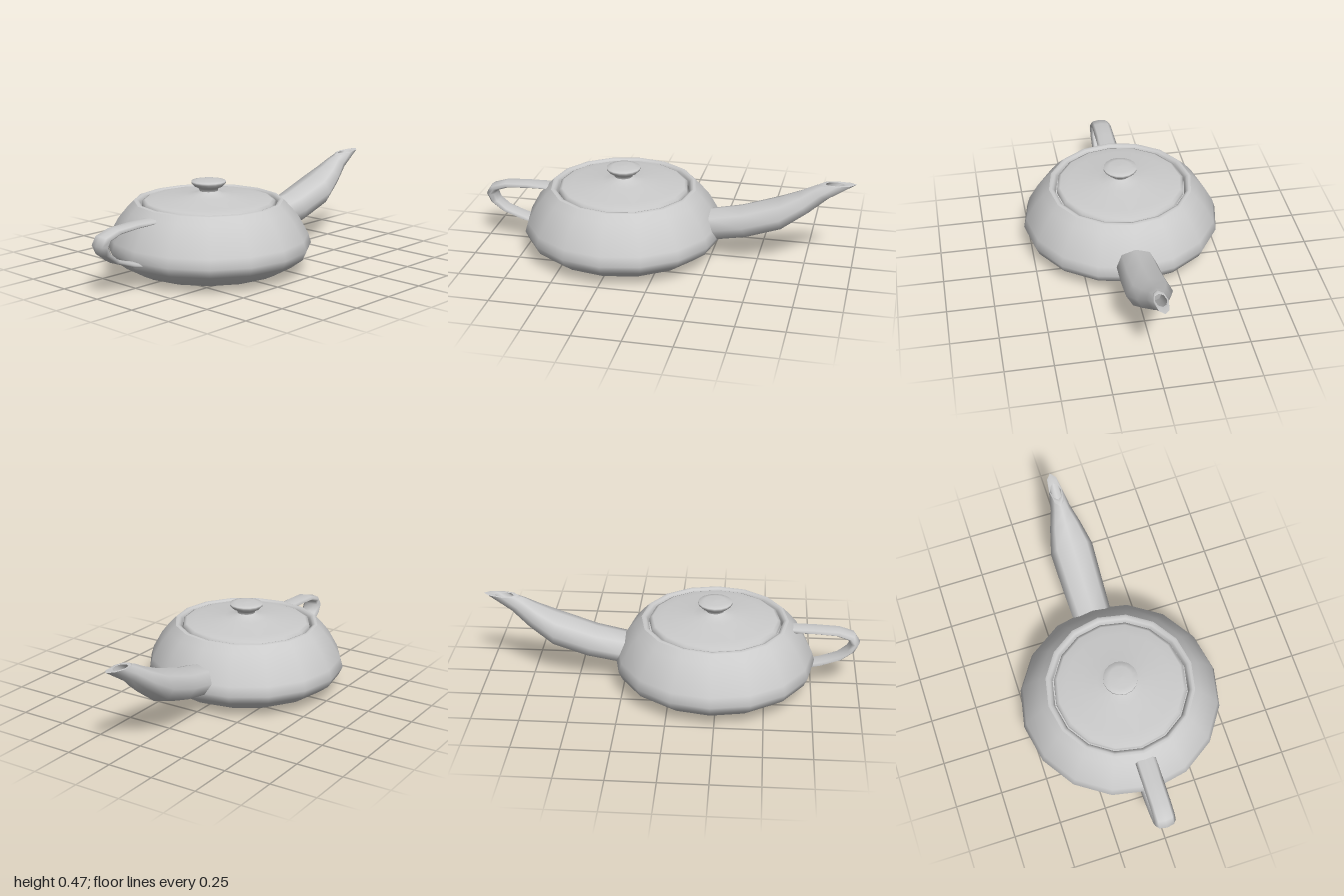
import * as THREE from 'three';

const material = new THREE.MeshStandardMaterial({ color: 0xcccccc, side: THREE.DoubleSide });
const SIDES = 8;
const CENTRE_X = -0.23;

function part(name, geometry) {
  const mesh = new THREE.Mesh(geometry, material);
  mesh.name = name;
  return mesh;
}

// Sixteen-sided turned part around the pot's axis
function turned(name, profile) {
  const points = profile.map(([r, y]) => new THREE.Vector2(r, y));
  const mesh = part(name, new THREE.LatheGeometry(points, 16));
  mesh.position.x = CENTRE_X;
  return mesh;
}

// Skin over oval rings, each given by two opposite points in the xy plane and a half width in z
function loft(name, rings) {
  const position = [], index = [];
  rings.forEach(([ax, ay, bx, by, w], i) => {
    for (let j = 0; j < SIDES; j++) {
      const t = (j / SIDES) * Math.PI * 2, c = Math.cos(t);
      position.push((ax + bx) / 2 + c * (ax - bx) / 2, (ay + by) / 2 + c * (ay - by) / 2, w * Math.sin(t));
      if (i === rings.length - 1) continue;
      const a = i * SIDES + j, d = i * SIDES + (j + 1) % SIDES;
      index.push(a, d, d + SIDES, a, d + SIDES, a + SIDES);
    }
  });
  const geometry = new THREE.BufferGeometry();
  geometry.setAttribute('position', new THREE.Float32BufferAttribute(position, 3));
  geometry.setIndex(index);
  geometry.computeVertexNormals();
  return part(name, geometry);
}

export function createModel() {
  const teapot = new THREE.Group();
  teapot.name = 'teapot';

  // Squat body and its rim
  teapot.add(turned('body', [
    [0, 0], [0.2, 0.003], [0.33, 0.007], [0.395, 0.016], [0.455, 0.045], [0.515, 0.09],
    [0.535, 0.135], [0.52, 0.185], [0.47, 0.275], [0.425, 0.33], [0.39, 0.366],
  ]));
  teapot.add(turned('rim', [
    [0.39, 0.366], [0.378, 0.37], [0.366, 0.366], [0.358, 0.352], [0.354, 0.33],
  ]));

  // Lid with its knob
  teapot.add(turned('lid', [
    [0.348, 0.34], [0.346, 0.363], [0.33, 0.37], [0.28, 0.376], [0.2, 0.385],
    [0.12, 0.395], [0.07, 0.404], [0.048, 0.416],
  ]));
  teapot.add(turned('lidKnob', [
    [0.048, 0.414], [0.05, 0.428], [0.075, 0.441], [0.09, 0.456], [0.09, 0.467],
    [0.06, 0.473], [0, 0.475],
  ]));

  // Rising spout, ending in a slanted lip with a hollow mouth
  const lip = [0.8, 0.457, 1.0, 0.475, 0.036];
  teapot.add(loft('spout', [
    [0.23, 0.265, 0.285, 0.103, 0.105],
    [0.4, 0.3, 0.45, 0.135, 0.112],
    [0.61, 0.37, 0.63, 0.2, 0.118],
    [0.71, 0.413, 0.76, 0.295, 0.085],
    [0.77, 0.445, 0.86, 0.385, 0.054],
    lip,
  ]));
  teapot.add(loft('spoutLip', [lip, [0.82, 0.468, 0.97, 0.474, 0.034], [0.84, 0.465, 0.94, 0.468, 0.029]]));
  teapot.add(loft('spoutMouth', [
    [0.84, 0.465, 0.94, 0.468, 0.029],
    [0.78, 0.425, 0.84, 0.395, 0.035],
    [0.68, 0.37, 0.71, 0.31, 0.045],
  ]));

  // Flat loop handle, from the lower joint round to the upper one
  teapot.add(loft('handle', [
    [-0.7, 0.098, -0.7, 0.126, 0.055],
    [-0.8, 0.122, -0.79, 0.146, 0.055],
    [-0.91, 0.164, -0.88, 0.177, 0.055],
    [-0.975, 0.212, -0.93, 0.22, 0.055],
    [-1.0, 0.262, -0.945, 0.258, 0.055],
    [-0.972, 0.306, -0.93, 0.28, 0.055],
    [-0.89, 0.331, -0.87, 0.302, 0.055],
    [-0.76, 0.337, -0.76, 0.31, 0.055],
    [-0.6, 0.34, -0.6, 0.312, 0.055],
  ]));

  return teapot;
}
